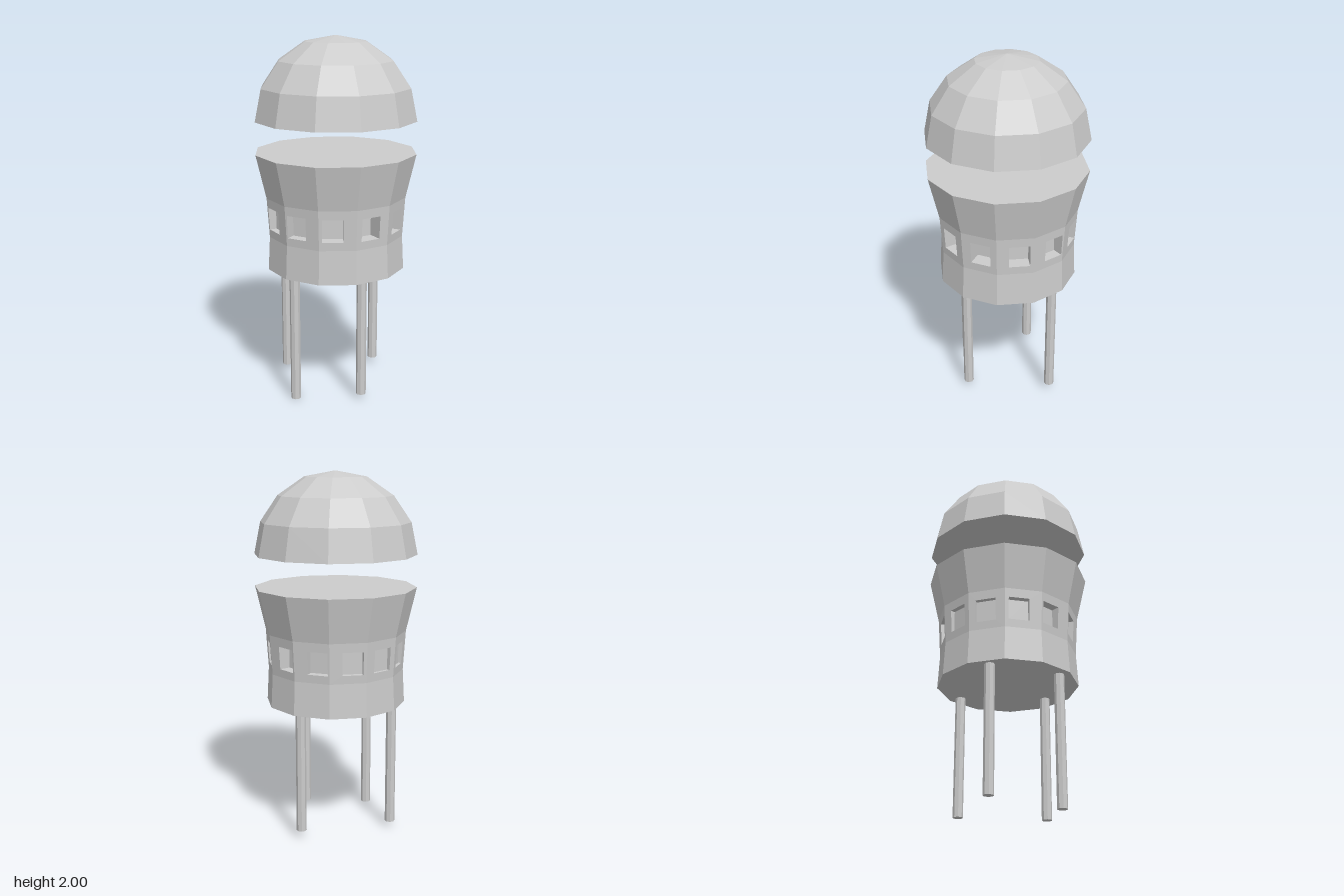
import * as THREE from 'three';

const SIDES = 12;
const STEP = (Math.PI * 2) / SIDES;
const START = THREE.MathUtils.degToRad(-9);

const material = new THREE.MeshStandardMaterial({ color: 0xcccccc, flatShading: true });

function addMesh(parent, name, geometry) {
  const mesh = new THREE.Mesh(geometry, material);
  mesh.name = name;
  parent.add(mesh);
  return mesh;
}

// Twelve-sided turned solid from a profile of [radius, height] pairs
function turned(profile) {
  const points = profile.map(([r, y]) => new THREE.Vector2(r, y));
  return new THREE.LatheGeometry(points, SIDES, START);
}

// Ring of flat faces, each with a square window sunk into it
function windowBand(low, high, win) {
  const positions = [];
  const quad = (a, b, c, d) => {
    for (const p of [a, b, c, a, c, d]) positions.push(p.x, p.y, p.z);
  };
  const cosHalf = Math.cos(STEP / 2);
  const tanHalf = Math.tan(STEP / 2);
  const apothem = (y) =>
    THREE.MathUtils.mapLinear(y, low.y, high.y, low.r, high.r) * cosHalf;

  for (let k = 0; k < SIDES; k++) {
    const angle = START + (k + 0.5) * STEP;
    const normal = new THREE.Vector3(Math.sin(angle), 0, Math.cos(angle));
    const tangent = new THREE.Vector3(normal.z, 0, -normal.x);
    const at = (u, y, depth) => new THREE.Vector3(0, y, 0)
      .addScaledVector(normal, depth)
      .addScaledVector(tangent, u);

    // The window ring sits slightly off the body's axis
    const shift = win.offset.dot(tangent);
    const back = win.radius + win.offset.dot(normal);
    const corners = [[-1, 0], [1, 0], [1, 1], [-1, 1]];
    const outer = corners.map(([s, t]) => {
      const y = t ? high.y : low.y;
      return at(s * apothem(y) * tanHalf, y, apothem(y));
    });
    const spots = corners.map(([s, t]) => [shift + s * win.width / 2, t ? win.top : win.bottom]);
    const rim = spots.map(([u, y]) => at(u, y, apothem(y)));
    const inner = spots.map(([u, y]) => at(u, y, back));

    for (let i = 0; i < 4; i++) {
      const j = (i + 1) % 4;
      quad(outer[i], outer[j], rim[j], rim[i]); // wall around the window
      quad(rim[i], rim[j], inner[j], inner[i]); // sides of the recess
    }
    quad(...inner);
  }

  const geometry = new THREE.BufferGeometry();
  geometry.setAttribute('position', new THREE.Float32BufferAttribute(positions, 3));
  geometry.computeVertexNormals();
  return geometry;
}

export function createModel() {
  const model = new THREE.Group();
  model.name = 'domedTower';

  // Faceted dome floating above the body
  addMesh(model, 'dome', turned([
    [0, 1.551], [0.449, 1.551], [0.413, 1.726], [0.316, 1.868], [0.17, 1.968], [0, 2],
  ]));

  // Waisted body: base, window band, flared top
  const body = new THREE.Group();
  body.name = 'body';
  model.add(body);
  const low = { r: 0.379, y: 0.91 };
  const high = { r: 0.393, y: 1.13 };
  addMesh(body, 'bodyBase', turned([[0, 0.723], [0.389, 0.723], [low.r, low.y]]));
  addMesh(body, 'windowBand', windowBand(low, high, {
    width: 0.113,
    bottom: 0.955,
    top: 1.08,
    radius: 0.318,
    offset: new THREE.Vector3(-0.028, 0, -0.02),
  }));
  addMesh(body, 'bodyTop', turned([[high.r, high.y], [0.449, 1.372], [0, 1.372]]));

  // Four thin stilts of slightly different length: x, z, foot height
  const legs = [
    [-0.205, 0.25, 0],
    [0.16, 0.23, 0.03],
    [0.207, -0.245, 0.042],
    [-0.302, -0.13, 0.032],
  ];
  const legTop = 0.74;
  for (const [x, z, foot] of legs) {
    const height = legTop - foot;
    const leg = addMesh(model, 'leg', new THREE.CylinderGeometry(0.028, 0.028, height, 8));
    leg.position.set(x, foot + height / 2, z);
  }

  return model;
}
